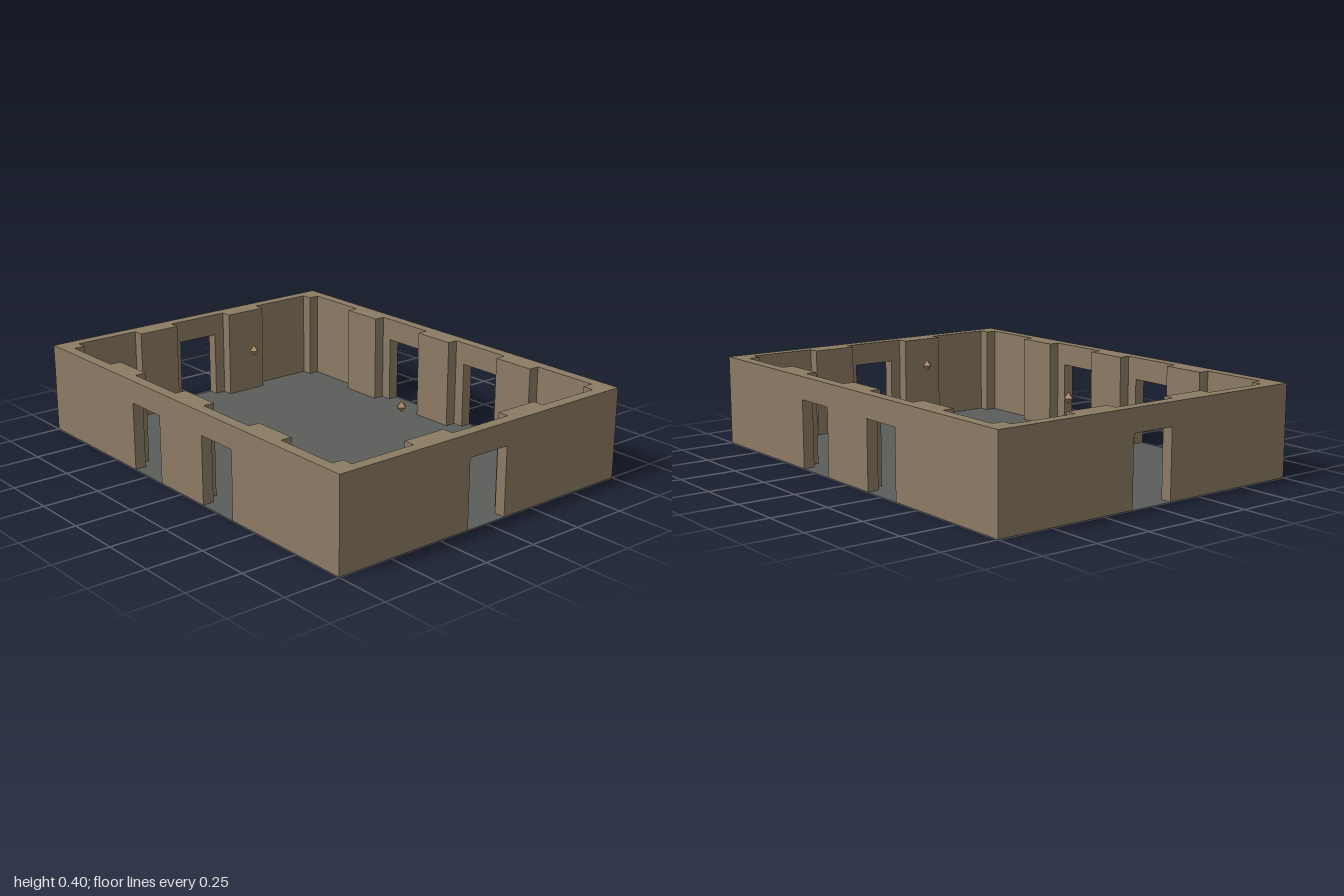
import * as THREE from 'three';

const W = 2, D = 1.5, H = 0.4, T = 0.05;      // room size and wall thickness
const DOOR_HALF = 0.1, DOOR_H = 0.3;

// Wall panel with door notches, outer face on local z = 0, thickness towards -z
function wallGeometry(length, doors) {
  const s = new THREE.Shape();
  s.moveTo(-length / 2, 0);
  for (const c of doors) {
    s.lineTo(c - DOOR_HALF, 0);
    s.lineTo(c - DOOR_HALF, DOOR_H);
    s.lineTo(c + DOOR_HALF, DOOR_H);
    s.lineTo(c + DOOR_HALF, 0);
  }
  s.lineTo(length / 2, 0);
  s.lineTo(length / 2, H);
  s.lineTo(-length / 2, H);
  s.closePath();
  return new THREE.ExtrudeGeometry(s, { depth: T, bevelEnabled: false }).translate(0, 0, -T);
}

export function createModel() {
  const stone = new THREE.MeshStandardMaterial({ color: 0x8b7b63 });
  stone.name = 'wallStone';
  const slate = new THREE.MeshStandardMaterial({ color: 0x5b5d5a, side: THREE.DoubleSide });
  slate.name = 'floorSlate';
  const bronze = new THREE.MeshStandardMaterial({ color: 0xa07f58, flatShading: true });
  bronze.name = 'lampBronze';

  const model = new THREE.Group();
  model.name = 'room';
  const add = (parent, name, geometry, material, x = 0, y = 0, z = 0) => {
    const mesh = new THREE.Mesh(geometry, material);
    mesh.name = name;
    mesh.position.set(x, y, z);
    parent.add(mesh);
    return mesh;
  };

  // Floor sheet
  add(model, 'floor', new THREE.PlaneGeometry(W, D).rotateX(-Math.PI / 2), slate);

  // Four walls with their doorways and pilasters
  const sides = [
    { name: 'front', angle: 0, out: D / 2, length: W, doors: [-0.25, 0.25], pilasters: [-0.5, 0, 0.5] },
    { name: 'left', angle: Math.PI / 2, out: W / 2, length: D - 2 * T, doors: [0], pilasters: [-0.25, 0.25] },
    { name: 'back', angle: Math.PI, out: D / 2, length: W, doors: [-0.25, 0.25], pilasters: [-0.5, 0, 0.5] },
    { name: 'right', angle: -Math.PI / 2, out: W / 2, length: D - 2 * T, doors: [0], pilasters: [-0.25, 0.25] },
  ];
  const pilaster = new THREE.BoxGeometry(0.2, H, T);
  for (const side of sides) {
    const group = new THREE.Group();
    group.name = side.name + 'Side';
    group.rotation.y = side.angle;
    group.position.y = 0.001;
    add(group, 'wall', wallGeometry(side.length, side.doors), stone, 0, 0, side.out);
    for (const x of side.pilasters) add(group, 'pilaster', pilaster, stone, x, H / 2, side.out - 1.5 * T);
    model.add(group);
  }

  // Square columns in the inner corners
  const column = new THREE.BoxGeometry(T, H, T);
  for (const sx of [-1, 1]) for (const sz of [-1, 1])
    add(model, 'cornerColumn', column, stone, sx * (W / 2 - 1.5 * T), H / 2 + 0.001, sz * (D / 2 - 1.5 * T));

  // Two small faceted lamps floating over the floor
  const lamp = new THREE.OctahedronGeometry(0.025);
  for (const x of [-0.5, 0.5]) add(model, 'lamp', lamp, bronze, x, 0.35, 0);

  return model;
}
